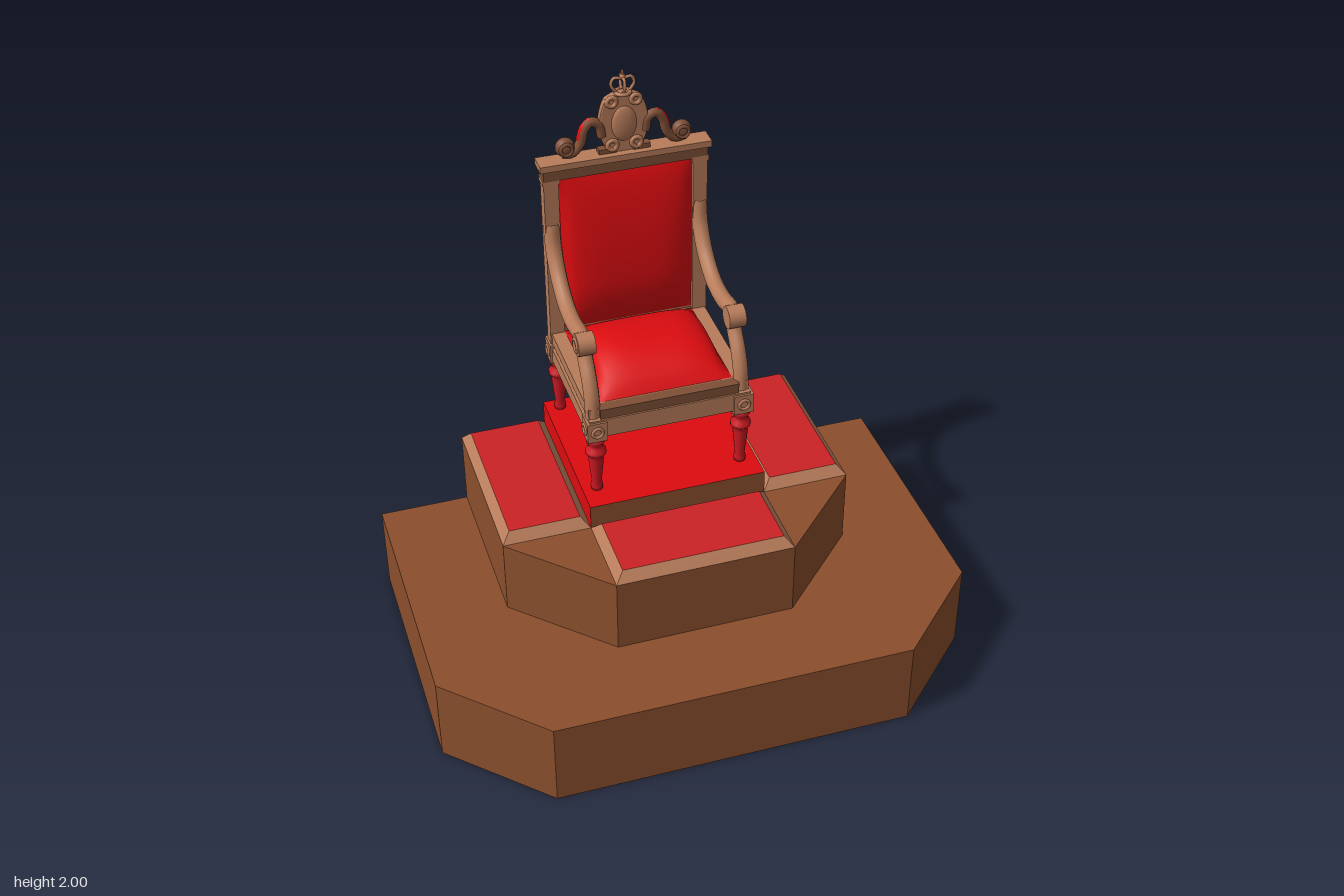
import * as THREE from 'three';

const mat = (name, color) => {
  const m = new THREE.MeshStandardMaterial({ color });
  m.name = name;
  return m;
};

export function createModel() {
  const root = new THREE.Group();
  root.name = 'throneOnDais';
  const brown = mat('dais brown', 0x8b4f2d);
  const carpet = mat('carpet red', 0xcc2226);
  const red = mat('upholstery red', 0xdd0c10);
  const legRed = mat('leg red', 0xcc1822);
  const tan = mat('carved wood', 0xb87c5a);
  const dark = mat('dark wood', 0x7f4f36);
  const cloth = mat('backing brown', 0x7d4b2e);
  cloth.side = red.side = THREE.DoubleSide;

  const add = (parent, name, geo, material, x = 0, y = 0, z = 0) => {
    const m = new THREE.Mesh(geo, material);
    m.name = name;
    m.position.set(x, y, z);
    parent.add(m);
    return m;
  };
  // box given by its limits
  const box = (parent, name, material, x0, x1, y0, y1, z0, z1) =>
    add(parent, name, new THREE.BoxGeometry(x1 - x0, y1 - y0, z1 - z0), material,
      (x0 + x1) / 2, (y0 + y1) / 2, (z0 + z1) / 2);
  // upright prism over an x,z outline
  const prism = (name, pts, y0, y1) => {
    const shape = new THREE.Shape(pts.map(([x, z]) => new THREE.Vector2(x, -z)));
    const geo = new THREE.ExtrudeGeometry(shape, { depth: y1 - y0, bevelEnabled: false });
    geo.rotateX(-Math.PI / 2);
    add(root, name, geo, brown, 0, y0, 0);
  };
  const tube = (parent, name, pts, r, material, seg = 24) => {
    const curve = new THREE.CatmullRomCurve3(pts.map(p => new THREE.Vector3(...p)));
    return add(parent, name, new THREE.TubeGeometry(curve, seg, r, 10), material);
  };
  const ball = (parent, name, r, material, x, y, z, sx = 1, sy = 1, sz = 1) => {
    const m = add(parent, name, new THREE.SphereGeometry(r, 16, 12), material, x, y, z);
    m.scale.set(sx, sy, sz);
    return m;
  };

  // Dais: two clipped tiers
  prism('lowerTier', [[-0.95, -0.63], [-0.95, 0.3], [-0.63, 0.62], [0.63, 0.63], [0.95, 0.32], [0.95, -0.63]], 0, 0.32);
  prism('upperTier', [[-0.63, -0.63], [-0.63, 0], [-0.32, 0.31], [0.31, 0.31], [0.62, 0], [0.62, -0.63]], 0.32, 0.6);

  // Carpeted steps with a chamfered wooden rim
  const step = (name, x0, x1, z0, z1) => {
    const m = box(root, name, [tan, tan, carpet, tan, tan, tan], x0, x1, 0.6, 0.635, z0, z1);
    const p = m.geometry.attributes.position;
    for (let i = 0; i < p.count; i++) {
      if (p.getY(i) < 0) continue;
      p.setX(i, p.getX(i) - Math.sign(p.getX(i)) * 0.03);
      p.setZ(i, p.getZ(i) - Math.sign(p.getZ(i)) * 0.03);
    }
    m.geometry.computeVertexNormals();
  };
  step('rightStep', -0.63, -0.32, -0.63, 0);
  step('leftStep', 0.31, 0.62, -0.63, 0);
  step('frontStep', -0.32, 0.31, 0, 0.31);
  box(root, 'chairPlatform', [red, red, red, red, brown, red], -0.32, 0.31, 0.6, 0.69, -0.63, 0);

  // Chair, modelled about its own centre line
  const chair = new THREE.Group();
  chair.name = 'chair';
  chair.position.x = -0.008;
  root.add(chair);

  // Turned legs with corner blocks and rosettes
  const legProfile = [[0, 0], [0.02, 0], [0.022, 0.015], [0.017, 0.03], [0.027, 0.13], [0.022, 0.14],
    [0.036, 0.155], [0.036, 0.168], [0.024, 0.178], [0.024, 0.192], [0.033, 0.205], [0.033, 0.225], [0, 0.225]]
    .map(p => new THREE.Vector2(...p));
  for (const s of [-1, 1]) {
    for (const z of [-0.1, -0.585]) {
      add(chair, 'leg', new THREE.LatheGeometry(legProfile, 16), legRed, s * 0.26, 0.69, z);
      box(chair, 'cornerBlock', tan, s * 0.26 - 0.035, s * 0.26 + 0.035, 0.912, 0.988, z - 0.035, z + 0.035);
      const side = add(chair, 'sideRosette', new THREE.TorusGeometry(0.018, 0.006, 6, 16), tan, s * 0.296, 0.95, z);
      side.rotation.y = Math.PI / 2;
    }
    add(chair, 'frontRosette', new THREE.TorusGeometry(0.018, 0.006, 6, 16), tan, s * 0.26, 0.95, -0.064);
    // Side rails
    box(chair, 'sideRail', tan, s * 0.26 - 0.028, s * 0.26 + 0.028, 0.922, 0.975, -0.56, -0.12);
    box(chair, 'sideLedge', tan, s * 0.258 - 0.025, s * 0.258 + 0.025, 0.988, 1.03, -0.6, -0.09);
  }
  // Front and back rails, underside
  for (const z of [-0.098, -0.585]) {
    box(chair, 'crossRail', tan, -0.23, 0.23, 0.925, 0.978, z - 0.026, z + 0.026);
    box(chair, 'railMoulding', tan, -0.285, 0.285, 0.978, 0.995, z - 0.026, z + 0.026);
    box(chair, 'crossLedge', dark, -0.245, 0.245, 0.995, 1.032, z - 0.02, z + 0.02);
  }
  box(chair, 'seatBase', tan, -0.24, 0.24, 0.935, 1.03, -0.57, -0.11);

  // Padded cushions: a plane swollen towards its middle
  const cushion = (w, h, depth, peak) => {
    const geo = new THREE.PlaneGeometry(w, h, 20, 20);
    const p = geo.attributes.position;
    for (let i = 0; i < p.count; i++) {
      const u = Math.abs(p.getX(i) / w * 2);
      const v = p.getY(i) / h * 2;
      const t = Math.min(1, Math.abs(v - peak) / (v > peak ? 1 - peak : 1 + peak));
      p.setZ(i, depth * Math.pow(Math.max(0, 1 - u ** 4), 0.5) * Math.pow(Math.max(0, 1 - t * t), 0.8));
    }
    geo.computeVertexNormals();
    return geo;
  };
  const seat = add(chair, 'seatCushion', cushion(0.47, 0.44, 0.1, 0), red, 0, 1.03, -0.345);
  seat.rotation.x = -Math.PI / 2;
  add(chair, 'backCushion', cushion(0.47, 0.61, 0.055, -0.35), red, 0, 1.345, -0.572);

  // Back frame
  box(chair, 'backPanel', cloth, -0.245, 0.245, 1.07, 1.65, -0.602, -0.578);
  box(chair, 'lowerBackRail', tan, -0.24, 0.24, 1.03, 1.08, -0.606, -0.575);
  for (const s of [-1, 1]) {
    box(chair, 'backPost', tan, s * 0.262 - 0.026, s * 0.262 + 0.026, 0.98, 1.65, -0.608, -0.562);
    box(chair, 'postCap', tan, s * 0.262 - 0.03, s * 0.262 + 0.03, 1.63, 1.65, -0.612, -0.558);
  }
  box(chair, 'topRail', dark, -0.288, 0.288, 1.645, 1.685, -0.612, -0.558);
  box(chair, 'topMoulding', tan, -0.3, 0.3, 1.685, 1.708, -0.622, -0.55);

  // Arms: sweeping rest, scrolled end and curved support
  for (const s of [-1, 1]) {
    const x = s * 0.263;
    tube(chair, 'armRest', [[x, 1.47, -0.582], [x, 1.38, -0.56], [x, 1.295, -0.5], [x, 1.24, -0.41],
      [x, 1.228, -0.32], [x, 1.24, -0.24], [x, 1.238, -0.19]], 0.029, tan, 32);
    const scroll = add(chair, 'armScroll', new THREE.CylinderGeometry(0.04, 0.04, 0.06, 20), tan, x, 1.235, -0.188);
    scroll.rotation.z = Math.PI / 2;
    const eye = add(chair, 'scrollEye', new THREE.TorusGeometry(0.022, 0.007, 6, 16), tan, x + s * 0.03, 1.235, -0.188);
    eye.rotation.y = Math.PI / 2;
    tube(chair, 'armSupport', [[x, 1.225, -0.215], [x, 1.175, -0.185], [x, 1.12, -0.145], [x, 1.06, -0.12],
      [x, 0.985, -0.11]], 0.027, tan);
  }

  // Crest: cartouche, side scrolls and crown
  const crest = new THREE.Group();
  crest.name = 'crest';
  crest.position.z = -0.588;
  chair.add(crest);
  const shield = new THREE.Shape();
  shield.moveTo(-0.045, 1.705);
  shield.bezierCurveTo(-0.09, 1.76, -0.09, 1.84, -0.06, 1.9);
  shield.quadraticCurveTo(0, 1.94, 0.06, 1.9);
  shield.bezierCurveTo(0.09, 1.84, 0.09, 1.76, 0.045, 1.705);
  shield.closePath();
  add(crest, 'cartouche', new THREE.ExtrudeGeometry(shield, {
    depth: 0.016, bevelSize: 0.005, bevelThickness: 0.006, bevelSegments: 2, curveSegments: 10,
  }), tan, 0, 0, -0.012);
  ball(crest, 'cartoucheBoss', 0.05, tan, 0, 1.81, 0.008, 0.9, 1.3, 0.3);
  for (const s of [-1, 1]) {
    for (const [y, r] of [[1.895, 0.016], [1.735, 0.017]])
      add(crest, 'cartoucheCurl', new THREE.TorusGeometry(r, 0.008, 8, 16), tan, s * 0.042, y, 0.01);
    tube(crest, 'sideScroll', [[s * 0.075, 1.77, 0], [s * 0.085, 1.815, 0], [s * 0.115, 1.828, 0],
      [s * 0.138, 1.8, 0], [s * 0.15, 1.755, 0], [s * 0.18, 1.724, 0], [s * 0.215, 1.728, 0]], 0.017, dark);
    tube(crest, 'scrollInlay', [[s * 0.112, 1.836, 0], [s * 0.138, 1.812, 0], [s * 0.152, 1.77, 0]], 0.013, red, 10);
    ball(crest, 'scrollKnob', 0.034, dark, s * 0.203, 1.75, 0, 1, 1, 0.8);
    add(crest, 'knobRing', new THREE.TorusGeometry(0.02, 0.007, 6, 16), dark, s * 0.203, 1.75, 0.022);
    box(crest, 'crestFoot', dark, s * 0.06 - 0.03, s * 0.06 + 0.03, 1.705, 1.725, -0.015, 0.015);
  }

  // Crown
  const band = add(crest, 'crownBand', new THREE.TorusGeometry(0.024, 0.007, 8, 20), tan, 0, 1.922, 0);
  band.rotation.x = Math.PI / 2;
  for (let i = 0; i < 4; i++) {
    const a = i * Math.PI / 2, c = Math.cos(a), n = Math.sin(a);
    const arm = [[0.024, 1.925], [0.04, 1.952], [0.03, 1.975], [0, 1.97]];
    tube(crest, 'crownArch', arm.map(([r, y]) => [r * c, y, r * n * 0.7]), 0.0055, tan, 12);
  }
  ball(crest, 'crownOrb', 0.01, tan, 0, 1.978, 0);
  box(crest, 'crownFinial', tan, -0.004, 0.004, 1.975, 2, -0.004, 0.004);

  return root;
}
